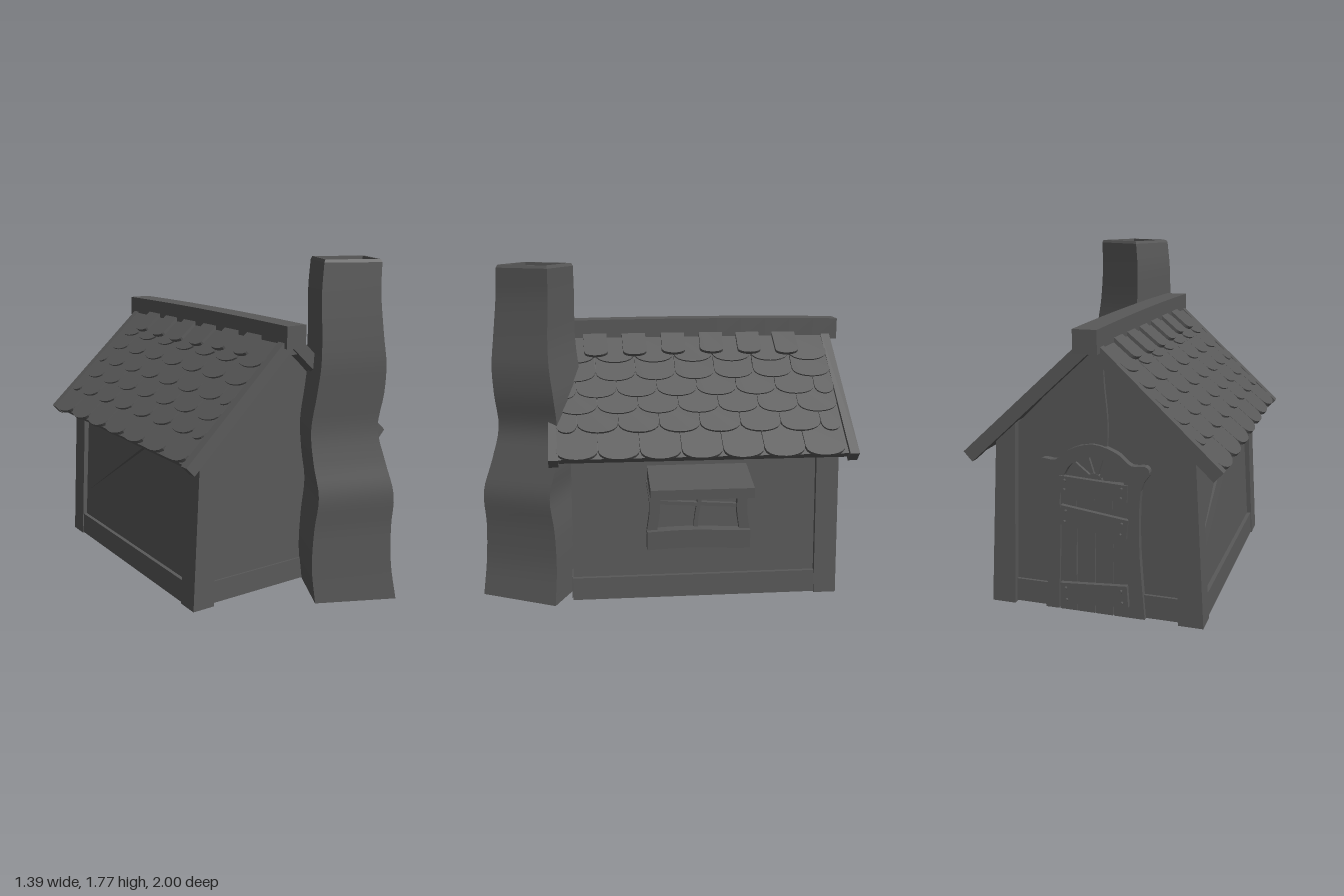
import * as THREE from 'three';

const mat = new THREE.MeshStandardMaterial({ color: 0x595959, side: THREE.DoubleSide });

function add(parent, name, geo, x = 0, y = 0, z = 0, rx = 0, ry = 0, rz = 0) {
  const m = new THREE.Mesh(geo, mat);
  m.name = name;
  m.position.set(x, y, z);
  m.rotation.set(rx, ry, rz);
  parent.add(m);
  return m;
}

function group(parent, name) {
  const g = new THREE.Group();
  g.name = name;
  parent.add(g);
  return g;
}

const box = (w, h, d) => new THREE.BoxGeometry(w, h, d);

// Polygon in x/y extruded from z0 to z1; side = -1 mirrors it
function prism(points, z0, z1, side = 1) {
  const shape = new THREE.Shape(points.map(([x, y]) => new THREE.Vector2(x * side, y)));
  return new THREE.ExtrudeGeometry(shape, { depth: z1 - z0, bevelEnabled: false }).translate(0, 0, z0);
}

// Hand-hewn plank whose centre line sways sideways
function wavyPlank(w, h, d, amp, phase = 0) {
  const g = new THREE.BoxGeometry(w, h, d, 1, 10, 1);
  const p = g.attributes.position;
  for (let i = 0; i < p.count; i++) p.setX(i, p.getX(i) + amp * Math.sin((p.getY(i) / h) * 5 + phase));
  g.computeVertexNormals();
  return g;
}

// Roof tile with a rounded lower end of depth e; the tip is at the origin, body towards -x
function tileGeometry(w, len, e) {
  const s = new THREE.Shape();
  s.moveTo(-len, -w / 2);
  s.lineTo(-e, -w / 2);
  s.bezierCurveTo(e / 3, -w / 2, e / 3, w / 2, -e, w / 2);
  s.lineTo(-len, w / 2);
  return new THREE.ExtrudeGeometry(s, { depth: 0.018, bevelEnabled: false, curveSegments: 10 }).rotateX(-Math.PI / 2);
}

// Four-sided shell through [x, y, z, radius] levels, smooth upwards, sharp at corners
function squareShell(levels) {
  const pos = [], idx = [];
  for (let k = 0; k < 4; k++) {
    const base = pos.length / 3;
    levels.forEach(([x, y, z, r], i) => {
      for (let c = 0; c < 2; c++) {
        const a = 0.335 + ((k + c) * Math.PI) / 2;
        pos.push(x + r * Math.sin(a), y, z + r * Math.cos(a));
      }
      if (i) {
        const b = base + i * 2;
        idx.push(b - 2, b - 1, b + 1, b - 2, b + 1, b);
      }
    });
  }
  const g = new THREE.BufferGeometry();
  g.setAttribute('position', new THREE.Float32BufferAttribute(pos, 3));
  g.setIndex(idx);
  g.computeVertexNormals();
  return g;
}

function buildChimney(parent) {
  const g = group(parent, 'chimney');
  const keys = [
    [0.27, 0.005, 0.71, 0.307], [0.248, 0.2, 0.697, 0.299], [0.248, 0.4, 0.7, 0.288], [0.253, 0.58, 0.717, 0.278],
    [0.235, 0.75, 0.68, 0.265], [0.217, 0.92, 0.66, 0.245], [0.238, 1.1, 0.675, 0.245], [0.243, 1.25, 0.69, 0.236],
    [0.235, 1.4, 0.69, 0.222], [0.228, 1.6, 0.68, 0.212], [0.237, 1.755, 0.677, 0.206],
  ];
  const path = new THREE.CatmullRomCurve3(keys.map(([x, y, z]) => new THREE.Vector3(x, y, z)), false, 'catmullrom');
  const radius = new THREE.CatmullRomCurve3(keys.map((k) => new THREE.Vector3(k[3], k[1], 0)), false, 'catmullrom');
  const levels = [];
  for (let i = 0; i <= 40; i++) levels.push([...path.getPoint(i / 40).toArray(), radius.getPoint(i / 40).x]);
  add(g, 'chimneyStack', squareShell(levels));
  add(g, 'chimneyBase', squareShell([[0.27, 0.005, 0.71, 0], levels[0]]));
  // Bevelled rim, flue and flue floor
  const at = (y, r) => [0.237, y, 0.677, r];
  const rim = [at(1.755, 0.206), at(1.77, 0.197), at(1.77, 0.178), at(1.5, 0.155), at(1.5, 0)];
  for (let i = 1; i < rim.length; i++) add(g, 'chimneyRim', squareShell([rim[i - 1], rim[i]]));
}

function buildRoof(parent) {
  const rows = [0.885, 0.73, 0.615, 0.505, 0.39];
  const wide = tileGeometry(0.212, 0.2, 0.06), half = tileGeometry(0.104, 0.2, 0.05), narrow = tileGeometry(0.13, 0.2, 0.03);
  for (const side of [1, -1]) {
    // local x runs down the slope, local y is its normal
    const g = group(parent, side > 0 ? 'leftRoofSlope' : 'rightRoofSlope');
    g.position.set(0, 1.415, -0.165);
    g.rotation.set(0, side > 0 ? 0 : Math.PI, -0.75);
    add(g, 'roofDeck', box(0.87, 0.035, 1.54), 0.435, -0.037, 0);
    // Bargeboards splay outwards a little towards the eaves, each differently
    for (const [e, splay] of side > 0 ? [[1, 0], [-1, 0.03]] : [[1, 0.008], [-1, 0.024]]) {
      add(g, 'bargeboard', box(0.885, 0.066, 0.05), 0.4425, -0.033, e * (0.765 + splay * 0.44), 0, -e * splay);
    }
    rows.forEach((s, r) => {
      const odd = r % 2, n = odd ? 8 : 7;
      for (let i = 0; i < n; i++) {
        const end = odd && (i === 0 || i === 7);
        let z = (i - (n - 1) / 2) * 0.215;
        if (end) z -= Math.sign(z) * 0.054;
        const j = Math.sin(i * 12.9 + r * 7.3 + side);
        add(g, 'roofTile', end ? half : wide, s + j * 0.008, -0.013, z, 0, j * 0.03, 0.07);
      }
    });
    // Narrow tiles under the ridge, over a row of wide ones
    for (let i = 0; i < 7; i++) add(g, 'upperRoofTile', wide, 0.27, -0.013, (i - 3) * 0.215, 0, 0, 0.06);
    for (let i = 0; i < 6; i++) {
      const j = Math.sin(i * 5.1 + side);
      add(g, 'ridgeTile', narrow, 0.225 + j * 0.008, 0.002, (i - 2.5) * 0.212, 0, j * 0.04, 0.06);
    }
  }
  // Slightly bowed ridge beam
  const ridge = new THREE.BoxGeometry(0.12, 0.115, 1.65, 1, 1, 12);
  const p = ridge.attributes.position;
  for (let i = 0; i < p.count; i++) p.setY(i, p.getY(i) - 0.012 * p.getZ(i) ** 2);
  ridge.computeVertexNormals();
  add(parent, 'ridgeBeam', ridge, 0, 1.395, -0.175);
}

function buildWalls(parent) {
  const gable = [[-0.525, 0.01], [0.525, 0.01], [0.47, 0.88], [0, 1.35], [-0.47, 0.88]];
  add(parent, 'frontWall', prism(gable, 0.47, 0.51));
  add(parent, 'backWall', prism(gable, -0.87, -0.83));
  add(parent, 'frontBaseboard', box(1.04, 0.12, 0.05), 0, 0.07, 0.495);
  for (const s of [1, -1]) add(parent, 'backBaseboard', box(0.28, 0.12, 0.05), s * 0.39, 0.07, -0.86);
  const post = [[0.555, 0.005], [0.43, 0.005], [0.4, 0.96], [0.505, 0.86]];
  for (const s of [1, -1]) {
    add(parent, 'sideWall', prism([[0.53, 0.01], [0.475, 0.88], [0.435, 0.88], [0.49, 0.01]], -0.865, 0.513, s));
    add(parent, 'sideBaseboard', prism([[0.55, 0.01], [0.543, 0.13], [0.495, 0.13], [0.495, 0.01]], -0.83, 0.515, s));
    add(parent, 'backPost', prism(post, -0.91, -0.79, s));
  }
  add(parent, 'frontPost', prism(post, 0.42, 0.545, -1));
  // Posts under the ridge at both gables
  add(parent, 'frontKingPost', box(0.07, 0.06, 0.1), 0, 1.32, 0.56);
  add(parent, 'backKingPost', wavyPlank(0.12, 0.46, 0.035, 0.01), 0, 1.1, -0.872);
  // Diagonal brace on the right wall
  add(parent, 'wallBrace', box(0.03, 0.09, 0.9), -0.495, 0.54, -0.44, -0.55, 0, -0.065);
}

function buildDoor(parent) {
  const g = group(parent, 'door');
  g.position.set(0, 0, -0.87);
  g.rotation.y = Math.PI;
  const arch = (pts) => {
    const all = [...pts, ...pts.slice(0, -1).reverse().map(([x, y]) => [-x, y])];
    return new THREE.SplineCurve(all.map(([x, y]) => new THREE.Vector2(x, y))).getPoints(48).map((v) => [v.x, v.y]);
  };
  const outer = arch([[0.26, 0.01], [0.232, 0.38], [0.238, 0.66], [0.28, 0.75], [0.265, 0.79], [0.19, 0.79], [0.12, 0.845], [0, 0.88]]);
  const inner = arch([[0.19, 0.01], [0.175, 0.4], [0.17, 0.64], [0.115, 0.77], [0, 0.815]]);
  add(g, 'doorFrame', prism([...outer, ...inner.reverse()], -0.01, 0.038));
  for (let i = 0; i < 4; i++) {
    add(g, 'doorPlank', wavyPlank(0.091, 0.69, 0.03, 0.003, i), (i - 1.5) * 0.094, 0.347, 0.008);
  }
  // Cross boards with nails
  for (const [y, h, tilt] of [[0.66, 0.085, -0.06], [0.49, 0.1, -0.13], [0.11, 0.11, 0.07]]) {
    const b = group(g, 'crossBoard');
    b.position.set(0, y, 0.035);
    b.rotation.z = tilt;
    add(b, 'board', box(0.35, h, 0.025));
    for (const sx of [-1, 1]) for (const sy of [-1, 1]) {
      add(b, 'nail', new THREE.CylinderGeometry(0.007, 0.007, 0.02, 8), sx * 0.145, sy * h * 0.28, 0.018, Math.PI / 2);
    }
  }
  // Fan light bars
  for (const a of [-0.9, -0.3, 0.3, 0.9]) {
    add(g, 'fanBar', box(0.016, 0.14, 0.02), -Math.sin(a) * 0.06, 0.69 + Math.cos(a) * 0.06, 0.008, 0, 0, a);
  }
  add(g, 'fanHub', new THREE.CylinderGeometry(0.04, 0.04, 0.025, 16), 0, 0.69, 0.008, Math.PI / 2);
}

function buildWindow(parent) {
  // local z points out of the left wall, local x towards the back
  const g = group(parent, 'window');
  g.position.set(0.5, 0, -0.155);
  g.rotation.y = Math.PI / 2;
  add(g, 'windowSill', wavyPlank(0.1, 0.55, 0.11, 0.006, 1), 0, 0.338, 0.015, 0, 0, Math.PI / 2);
  for (const s of [1, -1]) add(g, 'windowJamb', wavyPlank(0.055, 0.28, 0.08, -0.009 * s, 1.6), s * 0.242, 0.51, 0);
  add(g, 'windowHead', box(0.5, 0.05, 0.08), 0, 0.635, 0);
  add(g, 'windowMullion', wavyPlank(0.022, 0.25, 0.03, 0.006), 0, 0.5, 0.008, 0, 0, -0.06);
  for (const s of [1, -1]) add(g, 'windowBar', box(0.22, 0.02, 0.03), s * 0.105, 0.52 - s * 0.006, 0.008, 0, 0, -0.07);
  add(g, 'windowCanopy', prism([[-0.03, 0.665], [0.235, 0.615], [0.235, 0.668], [-0.03, 0.732]], -0.26, 0.27), 0, 0, 0, 0, -Math.PI / 2);
}

export function createModel() {
  const model = new THREE.Group();
  model.name = 'cottage';
  const house = group(model, 'house');
  house.position.x = -0.045;
  buildWalls(house);
  buildRoof(house);
  buildDoor(house);
  buildWindow(house);
  buildChimney(model);
  return model;
}
